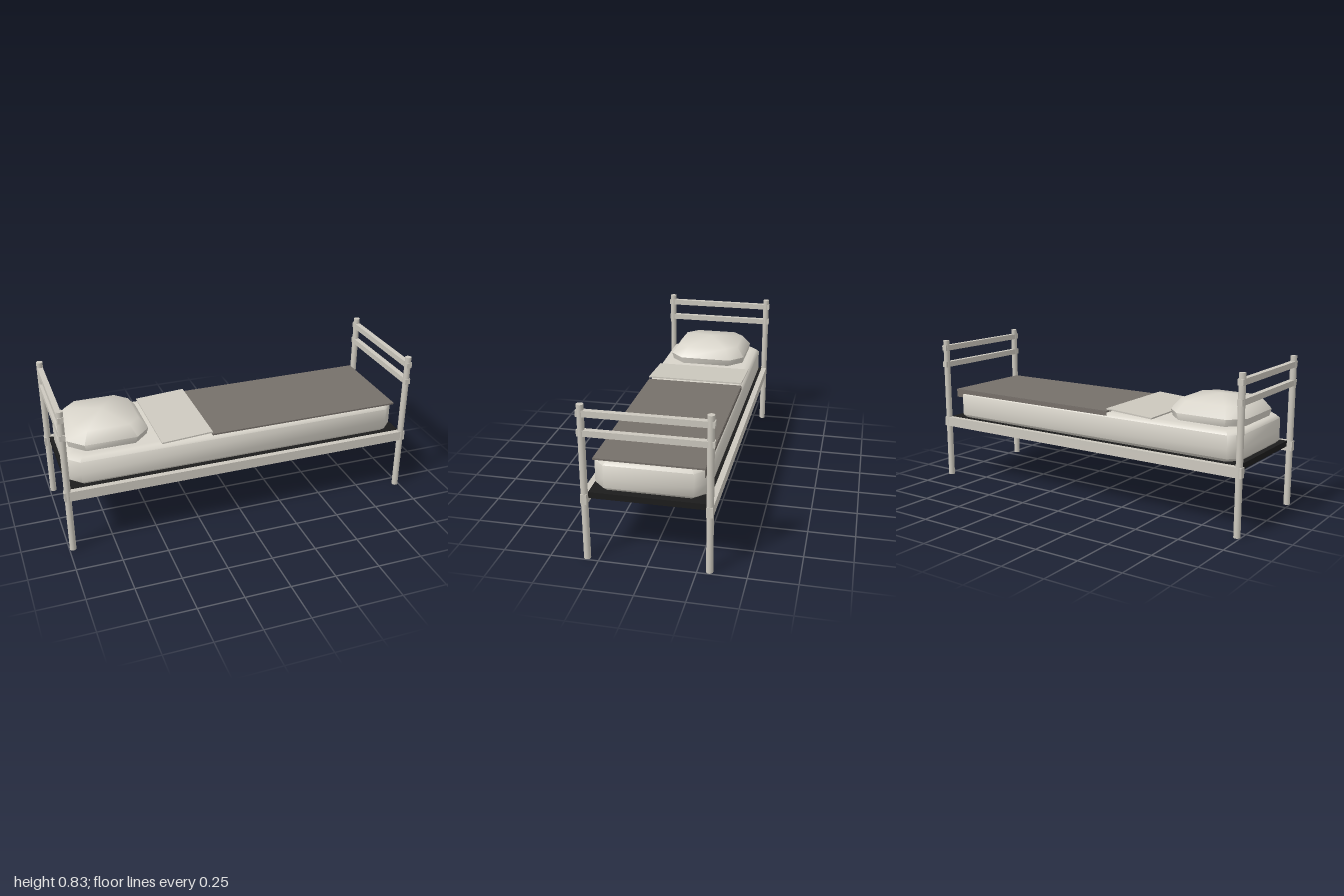
import * as THREE from 'three';
import { toCreasedNormals } from 'three/addons/utils/BufferGeometryUtils.js';

const material = (name, color) => {
  const m = new THREE.MeshStandardMaterial({ color });
  m.name = name;
  return m;
};

// Stack of chamfered rectangles: loops of [y, half length, half width, chamfer], capped at both ends
function loft(loops, crease) {
  const pos = [], idx = [];
  for (const [y, a, b, c] of loops) {
    const ring = [[a, b - c], [a - c, b], [c - a, b], [-a, b - c], [-a, c - b], [c - a, -b], [a - c, -b], [a, c - b]];
    for (const [x, z] of ring) pos.push(x, y, z);
  }
  for (let i = 0; i < loops.length - 1; i++) {
    for (let j = 0; j < 8; j++) {
      const p = i * 8 + j, q = i * 8 + (j + 1) % 8;
      idx.push(p, q, p + 8, q, q + 8, p + 8);
    }
  }
  const last = (loops.length - 1) * 8, low = pos.length / 3, high = low + 1;
  pos.push(0, loops[0][0], 0, 0, loops[loops.length - 1][4] ?? loops[loops.length - 1][0], 0);
  for (let j = 0; j < 8; j++) {
    const k = (j + 1) % 8;
    idx.push(low, k, j, high, last + j, last + k);
  }
  // Ring runs from +x to +z, so the winding is turned to face outward
  for (let i = 0; i < idx.length; i += 3) [idx[i + 1], idx[i + 2]] = [idx[i + 2], idx[i + 1]];
  const g = new THREE.BufferGeometry();
  g.setAttribute('position', new THREE.Float32BufferAttribute(pos, 3));
  g.setIndex(idx);
  // Caps were listed the other way round from the sides only if needed by the ring direction
  return toCreasedNormals(g, crease);
}

export function createModel() {
  const model = new THREE.Group();
  const frame = material('painted metal', 0xccc8be);
  const base = material('black base', 0x1c1c1c);
  const linen = material('linen', 0xd8d4ca);
  const wool = material('grey wool', 0x76706a);

  const add = (name, geometry, mat, x, y, z) => {
    const mesh = new THREE.Mesh(geometry, mat);
    mesh.name = name;
    mesh.position.set(x, y, z);
    model.add(mesh);
    return mesh;
  };
  const box = (name, mat, w, h, d, x, y, z) => add(name, new THREE.BoxGeometry(w, h, d), mat, x, y, z);

  // Posts, head and foot bars
  for (const x of [-0.98, 0.98]) {
    for (const z of [-0.312, 0.312]) {
      add('post', new THREE.CylinderGeometry(0.018, 0.018, 0.835, 16), frame, x, 0.4175, z);
    }
    for (const y of [0.69, 0.79]) box('endBar', frame, 0.03, 0.032, 0.666, x, y, 0);
  }

  // Side rails and the base panel between them
  for (const z of [-0.312, 0.312]) box('sideRail', frame, 2, 0.055, 0.032, 0, 0.338, z);
  box('basePanel', base, 1.94, 0.032, 0.594, 0, 0.351, 0);

  // Mattress with chamfered corners and softened edges
  add('mattress', loft([
    [0.367, 0.90, 0.235, 0.05],
    [0.367, 0.932, 0.267, 0.055],
    [0.385, 0.95, 0.285, 0.06],
    [0.435, 0.95, 0.285, 0.06],
    [0.507, 0.95, 0.285, 0.06],
    [0.525, 0.932, 0.267, 0.055],
    [0.526, 0.90, 0.235, 0.05],
  ], 0.9), linen, -0.005, 0, 0);

  // Pillow, domed to a low peak
  add('pillow', loft([
    [0.532, 0.213, 0.222, 0.08],
    [0.57, 0.222, 0.229, 0.08],
    [0.629, 0.178, 0.184, 0.065, 0.655],
  ], 0.87), linen, -0.715, 0, 0);

  // Blanket with its tucked back edge
  box('blanket', wool, 1.105, 0.009, 0.556, 0.385, 0.5335, 0);
  box('blanketTuck', wool, 1.105, 0.045, 0.004, 0.385, 0.512, -0.278);

  // Folded sheet rising slightly toward the blanket
  const fold = box('foldedSheet', frame, 0.285, 0.008, 0.556, -0.31, 0.541, 0);
  fold.rotation.z = 0.06;

  return model;
}
